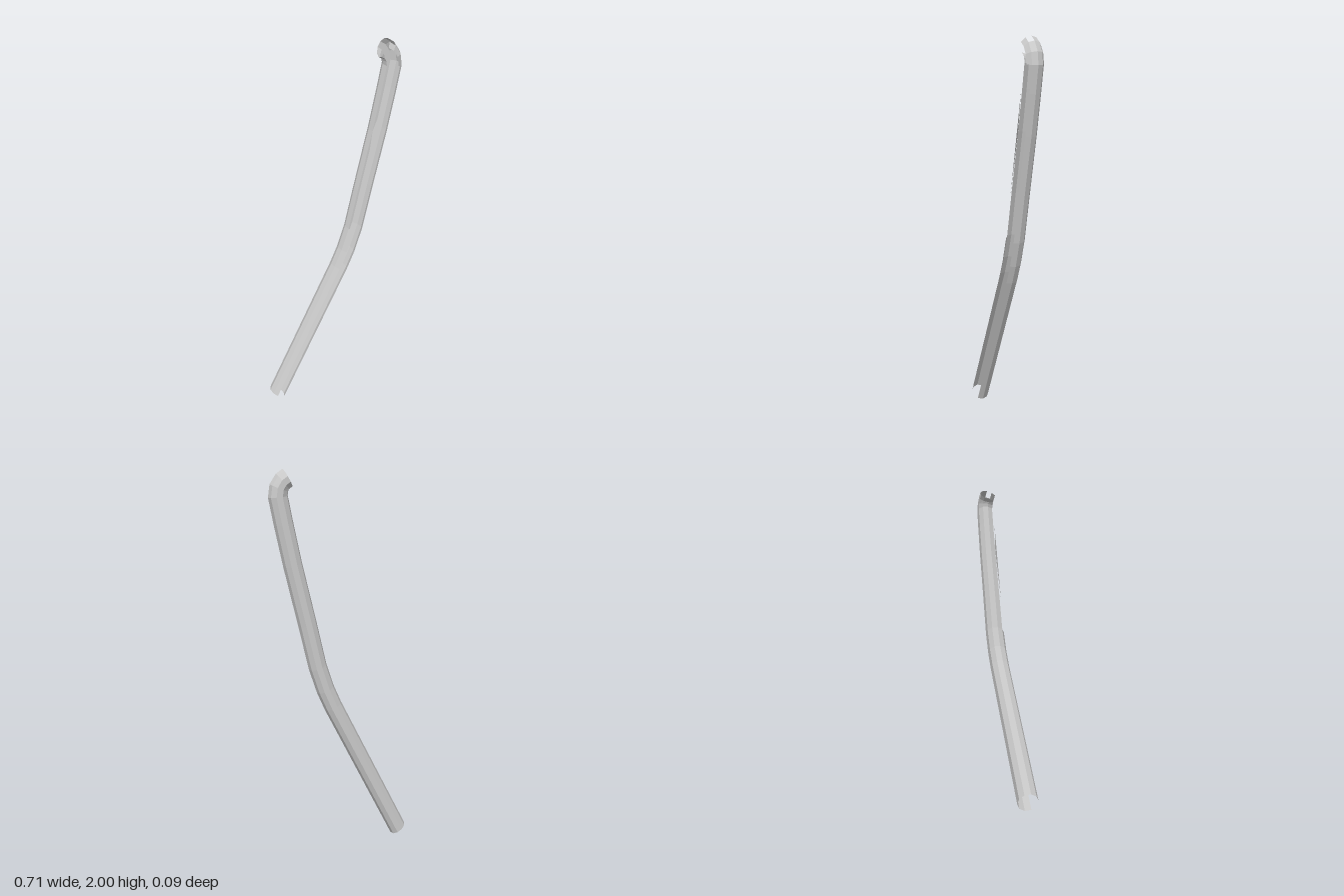
import * as THREE from 'three';

const SIDES = 10;
const RADIUS = 0.047;

// Rings along the tube: centre x, centre y, tilt of the ring in degrees
const RINGS = [
  [-0.32, 0.03, -35],
  [0.047, 0.8, -25.5],
  [0.086, 0.895, -22],
  [0.125, 1.02, -16],
  [0.174, 1.245, -12.5],
  [0.243, 1.55, -11.5],
  [0.283, 1.75, -10.5],
  [0.306, 1.875, -5],
  [0.3, 1.914, 22],
  [0.283, 1.942, 50],
  [0.259, 1.958, 62],
];
const BEND = 3;   // last ring of the lower bend
const ELBOW = 7;  // first ring of the top elbow
const LAST = RINGS.length - 1;

// Corner k of ring i: 0 is the outer side, then counting towards the front
function corner(i, k) {
  const [x, y, tilt] = RINGS[i];
  const t = THREE.MathUtils.degToRad(tilt);
  const a = (k / SIDES) * Math.PI * 2;
  const out = RADIUS * Math.cos(a);
  return [x + out * Math.cos(t), y + out * Math.sin(t), RADIUS * Math.sin(a)];
}

// Which panels of the open-fronted channel exist on segment i
function hasPanel(i, k) {
  if (k === 0) return i < LAST - 1;  // notch at the tip
  if (k === 1) return i >= ELBOW;    // front lip of the elbow
  if (k === 2) return false;         // open front
  if (k === 3) return i < BEND;      // inner lip of the lower half
  return true;
}

function makeMesh(name, positions, material) {
  const geometry = new THREE.BufferGeometry();
  geometry.setAttribute('position', new THREE.Float32BufferAttribute(positions, 3));
  geometry.computeVertexNormals();
  const mesh = new THREE.Mesh(geometry, material);
  mesh.name = name;
  return mesh;
}

// Panels between ring "from" and ring "to"
function channel(from, to) {
  const positions = [];
  for (let i = from; i < to; i++) {
    for (let k = 0; k < SIDES; k++) {
      if (!hasPanel(i, k)) continue;
      const a = corner(i, k), b = corner(i + 1, k);
      const c = corner(i + 1, k + 1), d = corner(i, k + 1);
      positions.push(...a, ...b, ...d, ...b, ...c, ...d);
    }
  }
  return positions;
}

export function createModel() {
  const group = new THREE.Group();
  group.name = 'bentChannel';
  const material = new THREE.MeshStandardMaterial({
    color: 0xcccccc, flatShading: true, side: THREE.DoubleSide,
  });

  group.add(makeMesh('lowerChannel', channel(0, BEND), material));
  group.add(makeMesh('upperChannel', channel(BEND, ELBOW), material));
  group.add(makeMesh('topElbow', channel(ELBOW, LAST), material));

  // Thin leftover sliver of the inner lip on the upper half
  const sliver = [...corner(4, 3), ...corner(6, 3), ...corner(5, 4)];
  group.add(makeMesh('lipSliver', sliver, material));
  return group;
}
